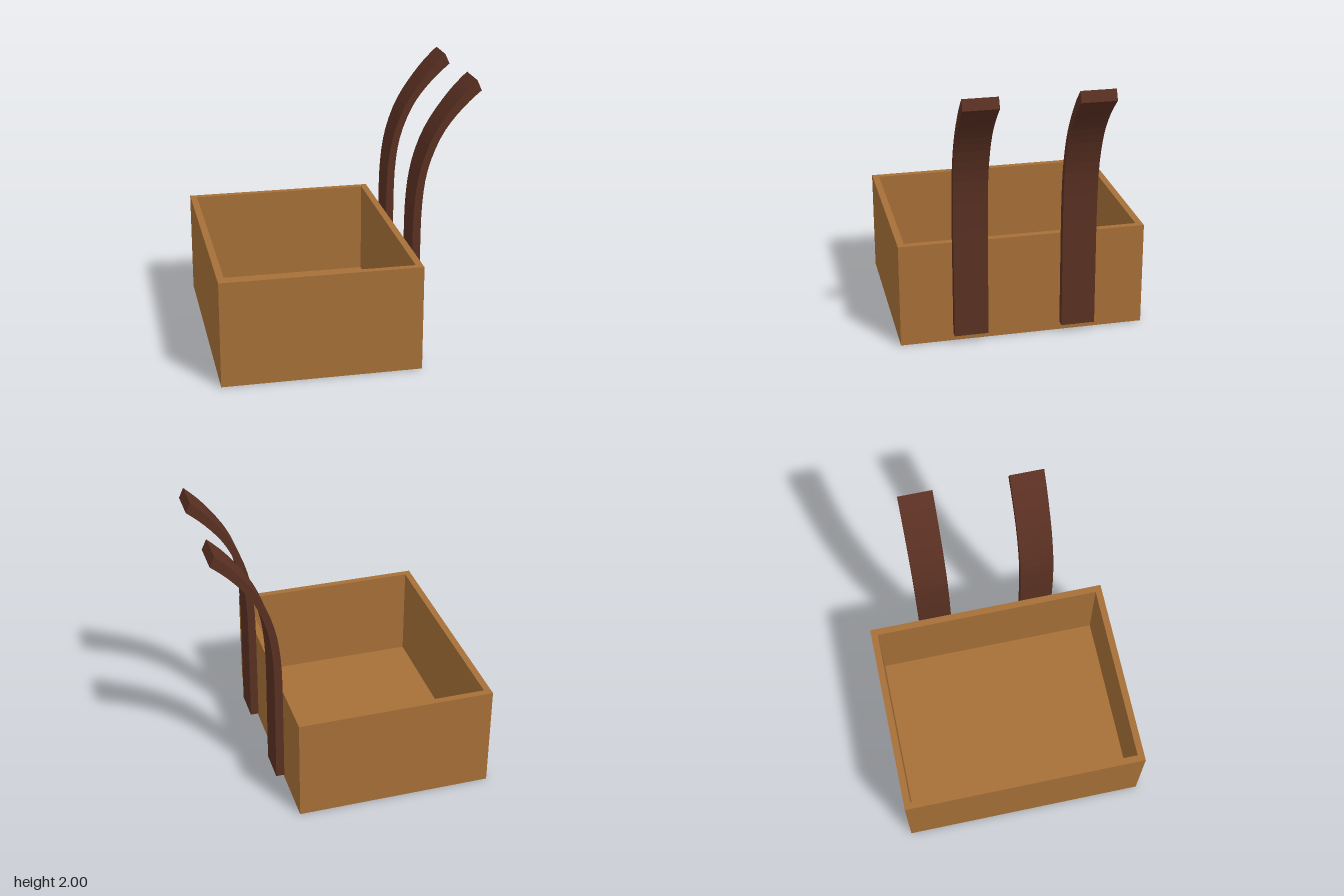
import * as THREE from 'three';

export function createModel() {
  const model = new THREE.Group();
  const wood = new THREE.MeshStandardMaterial({ color: 0xa66f37, flatShading: true });
  const leather = new THREE.MeshStandardMaterial({ color: 0x5a3022, flatShading: true });

  const x0 = -0.97, x1 = 0.473, depth = 0.91, height = 0.783, wall = 0.05, base = 0.07;
  const rect = (shape, ax, bx, h) =>
    shape.moveTo(ax, -h).lineTo(bx, -h).lineTo(bx, h).lineTo(ax, h).closePath();
  const slab = (name, shape, y, h) => {
    const geometry = new THREE.ExtrudeGeometry(shape, { depth: h, bevelEnabled: false });
    geometry.rotateX(-Math.PI / 2);
    const mesh = new THREE.Mesh(geometry, wood);
    mesh.name = name;
    mesh.position.y = y;
    model.add(mesh);
  };

  // Open box: a ring of walls around a floor panel
  const ring = rect(new THREE.Shape(), x0, x1, depth);
  ring.holes.push(rect(new THREE.Path(), x0 + wall, x1 - wall, depth - wall));
  slab('boxWalls', ring, 0, height);
  slab('boxFloor', rect(new THREE.Shape(), x0 + wall, x1 - wall, depth - wall), 0, base);

  // Strap side profile: straight at the bottom, curling outward at the top
  const inner = [[0.487, 0.8], [0.49, 1.0], [0.505, 1.2], [0.536, 1.37], [0.593, 1.54],
    [0.66, 1.67], [0.75, 1.8], [0.84, 1.91], [0.932, 2.0]];
  const outer = [[0.546, 0.8], [0.548, 1.0], [0.561, 1.2], [0.588, 1.36], [0.645, 1.525],
    [0.71, 1.65], [0.79, 1.755], [0.88, 1.85], [0.966, 1.925]];
  const smooth = (points) => new THREE.CatmullRomCurve3(
    points.map(([x, y]) => new THREE.Vector3(x, y, 0))).getPoints(16);
  const profile = new THREE.Shape([
    new THREE.Vector2(0.55, 0.07),
    ...smooth(outer).map((p) => new THREE.Vector2(p.x, p.y)),
    ...smooth(inner).reverse().map((p) => new THREE.Vector2(p.x, p.y)),
    new THREE.Vector2(0.488, 0.07),
  ]);

  // Two matching straps on the +x side
  const width = 0.25;
  const strapGeometry = new THREE.ExtrudeGeometry(profile, { depth: width, bevelEnabled: false });
  strapGeometry.translate(0, 0, -width / 2);
  for (const [name, z] of [['frontStrap', 0.4], ['backStrap', -0.4]]) {
    const strap = new THREE.Mesh(strapGeometry, leather);
    strap.name = name;
    strap.position.z = z;
    model.add(strap);
  }
  return model;
}
